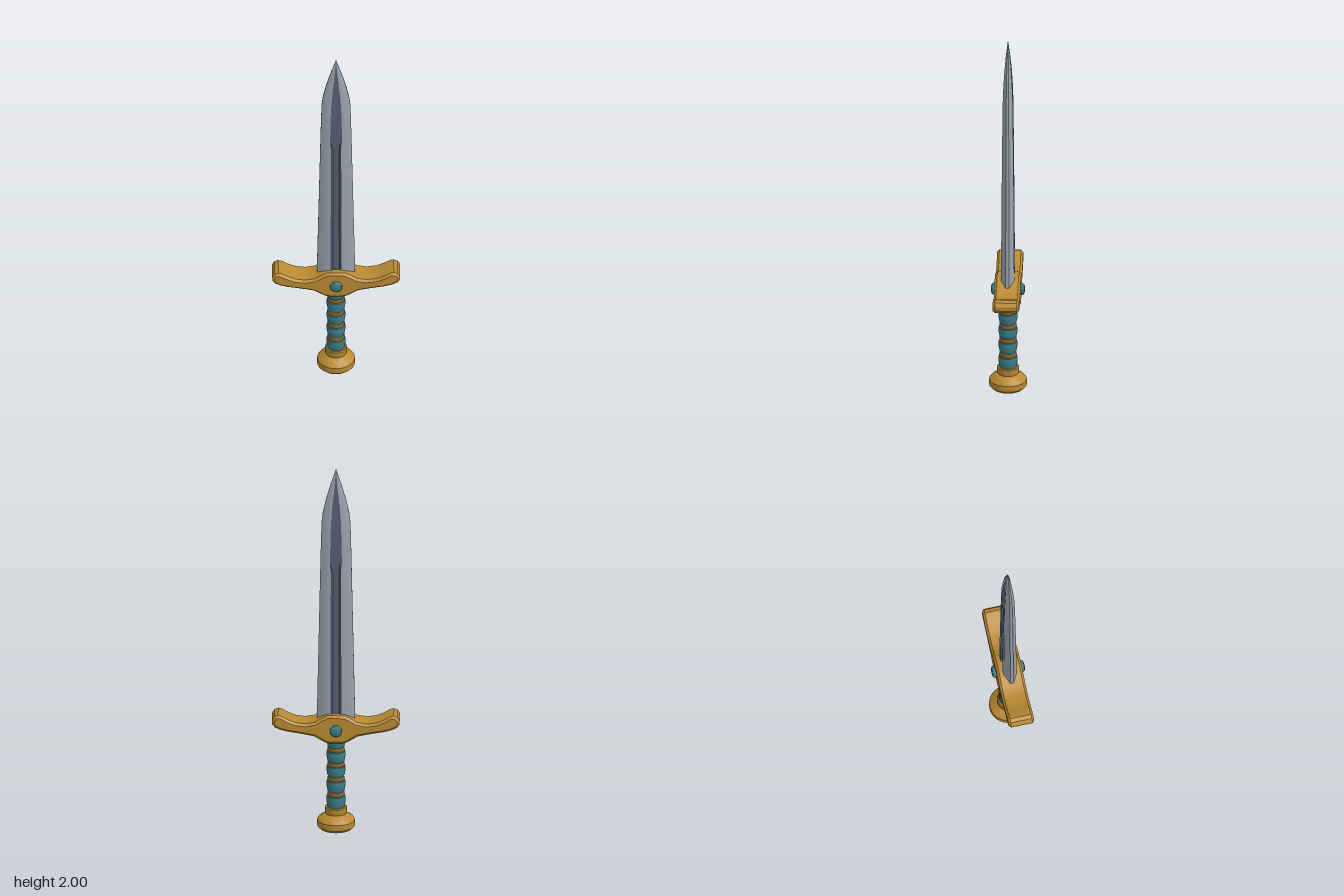
import * as THREE from 'three';
import { toCreasedNormals } from 'three/addons/utils/BufferGeometryUtils.js';

const mat = (name, color, side = THREE.FrontSide) => {
  const m = new THREE.MeshStandardMaterial({ color, side });
  m.name = name;
  return m;
};

export function createModel() {
  const group = new THREE.Group();
  const steel = mat('steel', 0x9ba3ad);
  const darkSteel = mat('dark steel', 0x536173);
  const gold = mat('gold', 0xb98a32);
  const teal = mat('teal', 0x3a7d89);
  const brown = mat('brown leather', 0x8f6526);

  const add = (name, geometry, material) => {
    const mesh = new THREE.Mesh(geometry, material);
    mesh.name = name;
    group.add(mesh);
    return mesh;
  };
  // Lathe from [radius, height] pairs, bottom to top
  const lathe = (pts, sides = 32) => toCreasedNormals(
    new THREE.LatheGeometry(pts.map(([r, y]) => new THREE.Vector2(r, y)), sides), 0.5);

  // Blade stations: height, half width, half thickness, fuller half width, fuller depth
  const stations = [
    [0.60, 0.100, 0.035, 0.026, 0.009],
    [1.43, 0.082, 0.029, 0.024, 0.009],
    [1.48, 0.081, 0.028, 0.031, 0.002],
    [1.60, 0.078, 0.027, 0.029, 0.002],
    [1.70, 0.075, 0.025, 0.026, 0.002],
    [1.76, 0.068, 0.022, 0.022, 0.002],
    [1.83, 0.052, 0.018, 0.015, 0.001],
    [1.91, 0.029, 0.011, 0.007, 0.001],
    [2.00, 0, 0, 0, 0],
  ];
  const sections = stations.map(([y, w, t, f, d]) => {
    const right = [[w, t * 0.25], [w * 0.55, t], [f, t], [f * 0.65, t - d]];
    const front = [...right, ...right.map(([x, z]) => [-x, z]).reverse()];
    return [...front, ...front.map(([x, z]) => [-x, -z])].map(([x, z]) => [x, y, z]);
  });
  const bladeSkin = (inColumn) => {
    const pos = [];
    for (let j = 0; j < sections.length - 1; j++) {
      for (let i = 0; i < 16; i++) {
        if (!inColumn(i % 8)) continue;
        const k = (i + 1) % 16;
        const [a, b, c, d] = [sections[j][i], sections[j][k], sections[j + 1][k], sections[j + 1][i]];
        pos.push(...a, ...d, ...c);
        if (j < sections.length - 2) pos.push(...a, ...c, ...b);
        else pos.splice(-9, 9, ...a, ...d, ...b);
      }
    }
    const g = new THREE.BufferGeometry();
    g.setAttribute('position', new THREE.Float32BufferAttribute(pos, 3));
    return toCreasedNormals(g, 0.6);
  };
  const isFuller = (i) => i >= 2 && i <= 4;
  add('blade', bladeSkin((i) => !isFuller(i)), steel);
  add('fuller', bladeSkin(isFuller), darkSteel);

  // Crossguard: mirrored outline, extruded along z with a bevel
  const half = [
    [0.045, 0.645], [0.075, 0.63], [0.11, 0.608], [0.16, 0.599], [0.21, 0.606],
    [0.25, 0.622], [0.28, 0.640], [0.30, 0.645], [0.32, 0.637], [0.332, 0.618],
    [0.331, 0.596], [0.318, 0.579], [0.29, 0.566], [0.25, 0.555], [0.20, 0.547],
    [0.15, 0.538], [0.11, 0.529], [0.08, 0.510], [0.055, 0.496], [0.03, 0.490],
  ];
  const bevel = 0.012;
  const outline = [...half, ...half.map(([x, y]) => [-x, y]).reverse()];
  const guardShape = new THREE.Shape(outline.map(([x, y]) => new THREE.Vector2(x, y)));
  const guard = new THREE.ExtrudeGeometry(guardShape, {
    depth: 0.136 - 2 * bevel, bevelThickness: bevel, bevelSize: bevel,
    bevelOffset: -bevel, bevelSegments: 1,
  });
  guard.translate(0, 0, -0.068 + bevel);
  add('crossguard', toCreasedNormals(guard, 0.5), gold);

  // Gem on each face of the guard
  for (const s of [1, -1]) {
    const gem = add(s > 0 ? 'frontGem' : 'backGem',
      lathe([[0.031, 0], [0.031, 0.011], [0.027, 0.017], [0.018, 0.021], [0, 0.022]], 20), teal);
    gem.position.set(0, 0.565, s * 0.066);
    gem.rotation.x = s * Math.PI / 2;
  }

  // Grip: bulging wraps separated by recessed leather bands
  const bands = [0.195, 0.28, 0.36, 0.443];
  const edges = [0.11, ...bands, 0.51];
  for (let i = 0; i < edges.length - 1; i++) {
    const y0 = edges[i] + (i ? 0.009 : 0);
    const y1 = edges[i + 1] - (i < 4 ? 0.009 : 0);
    const at = (u) => y0 + (y1 - y0) * u;
    add('gripWrap', lathe([[0.041, y0], [0.044, at(0.1)], [0.048, at(0.4)], [0.050, at(0.7)],
      [0.048, at(0.93)], [0.041, y1]], 24), teal);
  }
  for (const y of bands) {
    add('gripBand', lathe([[0.043, y - 0.011], [0.045, y], [0.042, y + 0.011]], 24), brown);
  }

  // Pommel disc with a collar
  add('pommel', lathe([[0, 0], [0.082, 0], [0.098, 0.016], [0.098, 0.048], [0.088, 0.062],
    [0.062, 0.078], [0.054, 0.084], [0.057, 0.09], [0.057, 0.118], [0.052, 0.122], [0, 0.122]], 40), gold);

  return group;
}
